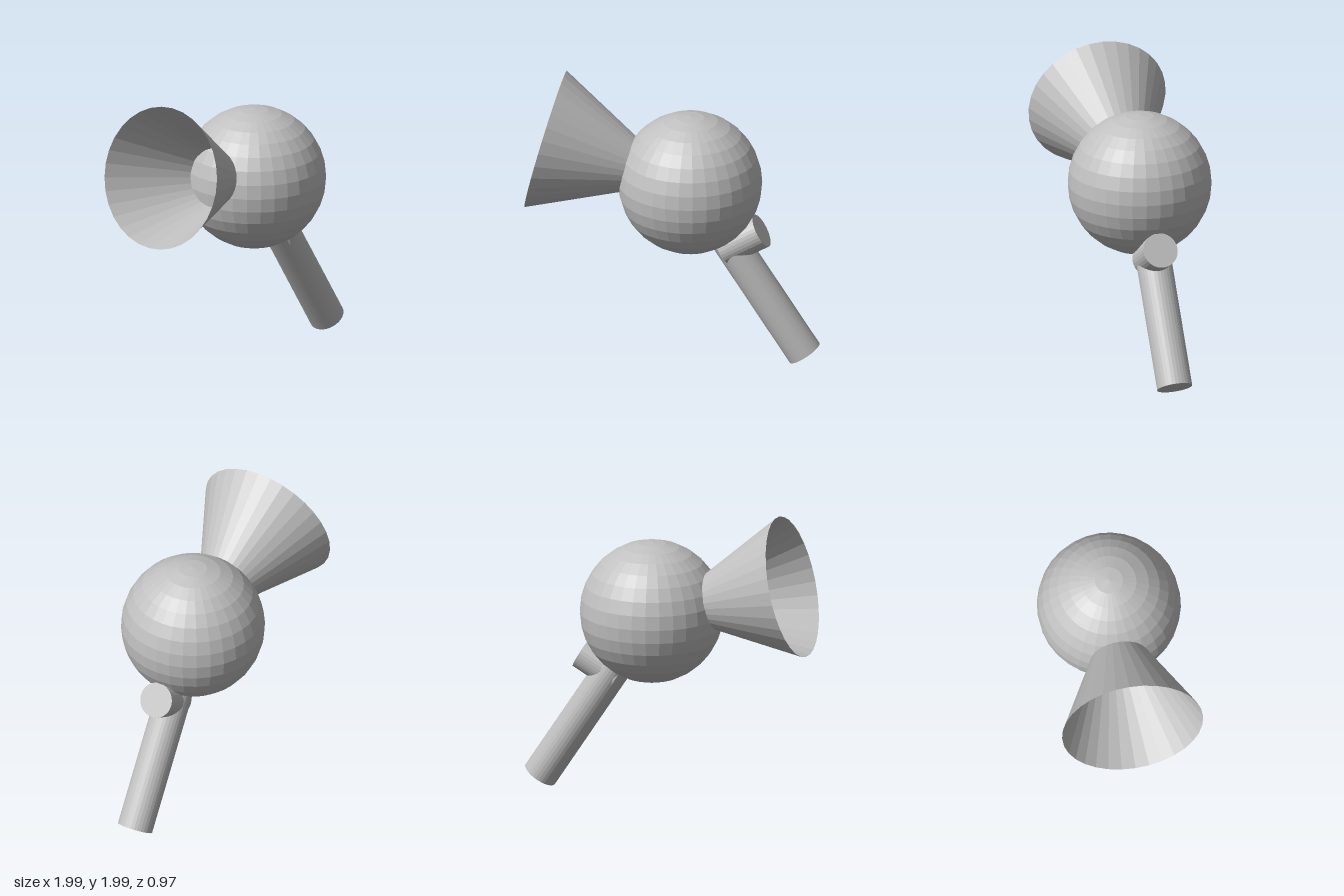
import * as THREE from 'three';

export function createModel() {
  const group = new THREE.Group();
  const gray = new THREE.MeshStandardMaterial({ color: 0xc0c0c0, flatShading: true, side: THREE.DoubleSide });
  gray.name = 'light gray';

  // Round bar or cone whose axis runs from start to end
  function bar(name, start, end, rStart, rEnd, open = false) {
    const a = new THREE.Vector3(...start);
    const axis = new THREE.Vector3(...end).sub(a);
    const mesh = new THREE.Mesh(
      new THREE.CylinderGeometry(rEnd, rStart, axis.length(), 32, 1, open), gray);
    mesh.position.copy(a).addScaledVector(axis, 0.5);
    mesh.quaternion.setFromUnitVectors(new THREE.Vector3(0, 1, 0), axis.normalize());
    mesh.name = name;
    group.add(mesh);
  }

  // Ball body
  const ball = new THREE.Mesh(new THREE.SphereGeometry(0.486, 32, 16), gray);
  ball.name = 'ball';
  ball.position.set(0.115, 1.275, 0);
  group.add(ball);

  // Hollow flared horn, its tip buried in the ball
  bar('horn', [0.075, 1.275, 0], [-0.872, 1.525, 0], 0, 0.482, true);

  // Long leg and the short stub crossing its upper end
  bar('leg', [0.895, 0.07, -0.01], [0.35, 0.908, -0.01], 0.12, 0.12);
  bar('stub', [0.342, 0.803, 0], [0.602, 0.953, 0], 0.119, 0.119);

  return group;
}
